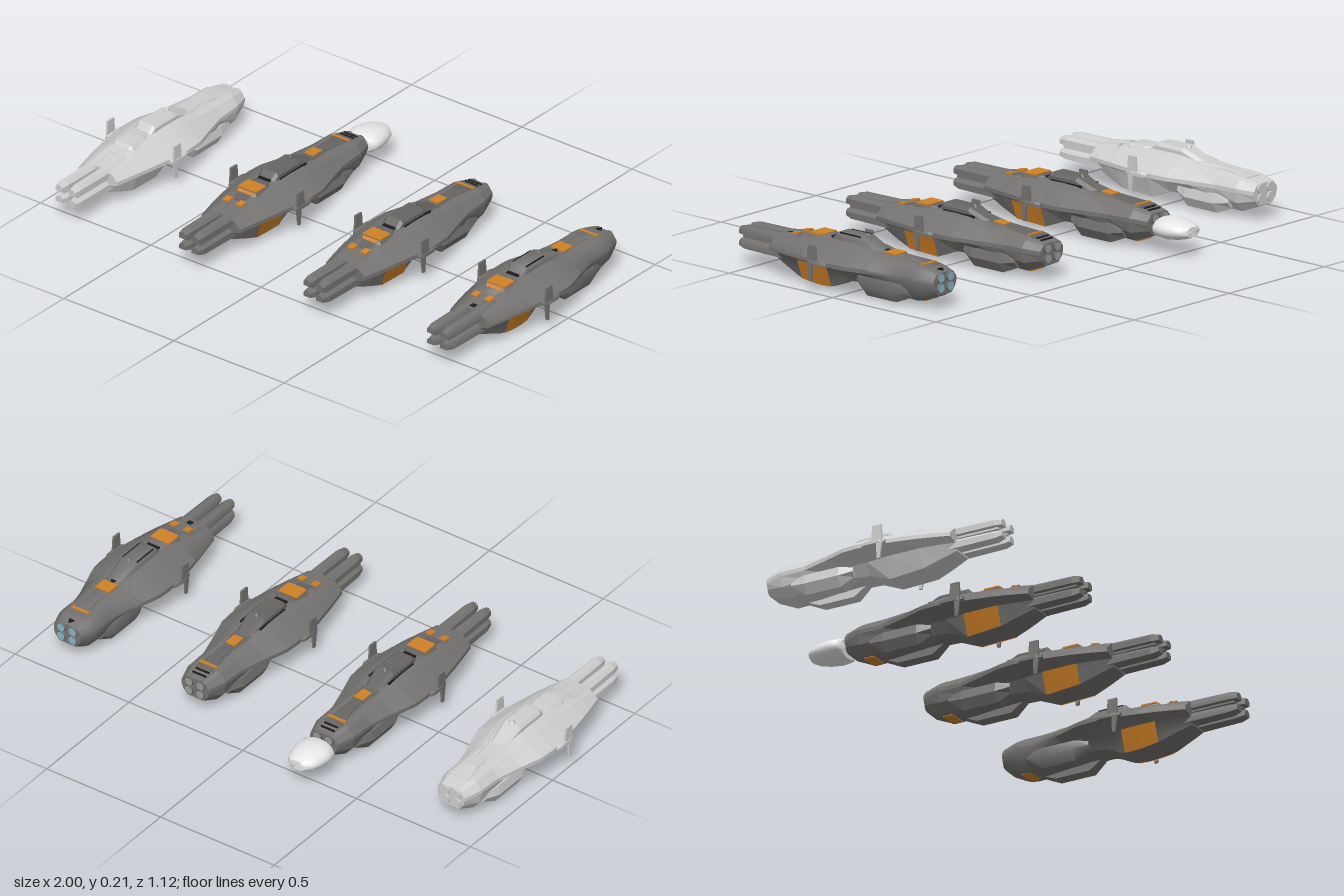
import * as THREE from 'three';
import { toCreasedNormals } from 'three/addons/utils/BufferGeometryUtils.js';

const mat = (name, color, side = THREE.FrontSide) => {
  const m = new THREE.MeshStandardMaterial({ color, side });
  m.name = name;
  return m;
};

// Skin over rings of [x, y, z], ordered front to back, each clockwise seen from the front
function loft(rings, smooth = false, closed = true) {
  const pos = [];
  const tri = (a, b, c) => pos.push(...a, ...b, ...c);
  const n = rings[0].length;
  for (let i = 0; i < rings.length - 1; i++) {
    for (let j = 0; j < (closed ? n : n - 1); j++) {
      const k = (j + 1) % n;
      tri(rings[i][j], rings[i][k], rings[i + 1][k]);
      tri(rings[i][j], rings[i + 1][k], rings[i + 1][j]);
    }
  }
  if (closed) {
    const cap = (ring, front) => {
      const c = [0, 1, 2].map(a => ring.reduce((s, p) => s + p[a], 0) / n);
      ring.forEach((p, j) => {
        const q = ring[(j + 1) % n];
        front ? tri(c, q, p) : tri(c, p, q);
      });
    };
    cap(rings[0], true);
    cap(rings[rings.length - 1], false);
  }
  const g = new THREE.BufferGeometry();
  g.setAttribute('position', new THREE.Float32BufferAttribute(pos, 3));
  g.computeVertexNormals();
  return smooth ? toCreasedNormals(g, 0.95) : g;
}

// Chamfered block: stations of [z, half width, bottom, top] around x = cx
const blockRings = (cx, stations, c = 0.012) => stations.map(([z, w, y0, y1]) => {
  const d = Math.min(c, (y1 - y0) * 0.45, w * 0.6);
  return [[cx - w + d, y1, z], [cx + w - d, y1, z], [cx + w, y1 - d, z],
    [cx + w, y0, z], [cx - w, y0, z], [cx - w, y1 - d, z]];
});

// z, roof x/y, shoulder x/y, wing x/y, underside x/y, keel x/y
const HULL = [
  [0.37, 0.03, 0.15, 0.06, 0.14, 0.088, 0.115, 0.052, 0.088, 0.04, 0.06],
  [0.3, 0.035, 0.157, 0.066, 0.147, 0.105, 0.118, 0.07, 0.086, 0.05, 0.035],
  [0.24, 0.04, 0.168, 0.07, 0.155, 0.118, 0.12, 0.08, 0.085, 0.055, 0.015],
  [0.1, 0.04, 0.18, 0.072, 0.168, 0.143, 0.122, 0.08, 0.084, 0.05, 0.007],
  [0.02, 0.04, 0.182, 0.075, 0.17, 0.147, 0.122, 0.072, 0.083, 0.045, 0.04],
  [-0.04, 0.04, 0.18, 0.07, 0.168, 0.143, 0.122, 0.072, 0.082, 0.048, 0.044],
  [-0.13, 0.04, 0.165, 0.065, 0.155, 0.115, 0.12, 0.072, 0.076, 0.045, 0.04],
  [-0.23, 0.04, 0.16, 0.06, 0.15, 0.087, 0.118, 0.075, 0.072, 0.045, 0.032],
  [-0.33, 0.045, 0.155, 0.06, 0.147, 0.083, 0.12, 0.075, 0.065, 0.045, 0.03],
  [-0.4, 0.035, 0.14, 0.045, 0.135, 0.06, 0.115, 0.053, 0.08, 0.035, 0.06],
];

// Extra stations along a spline for the rounded ship
function hullStations(smooth) {
  if (!smooth) return HULL;
  const out = [];
  for (let i = 0; i < HULL.length - 1; i++) {
    const [a, b, c, d] = [HULL[Math.max(i - 1, 0)], HULL[i], HULL[i + 1], HULL[Math.min(i + 2, HULL.length - 1)]];
    for (let k = 0; k < 4; k++) {
      const t = k / 4, t2 = t * t, t3 = t2 * t, h = c[0] - b[0];
      out.push(b.map((v, j) => {
        if (j === 0) return v + h * t;
        const m0 = (c[j] - a[j]) / (c[0] - a[0]) * h, m1 = (d[j] - v) / (d[0] - b[0]) * h;
        return (2 * t3 - 3 * t2 + 1) * v + (t3 - 2 * t2 + t) * m0 + (3 * t2 - 2 * t3) * c[j] + (t3 - t2) * m1;
      }));
    }
  }
  out.push(HULL[HULL.length - 1]);
  return out;
}

function hullRing([z, rx, ry, sx, sy, wx, wy, ux, uy, kx, ky]) {
  const half = [[rx, ry, z], [sx, sy, z], [wx, wy, z], [wx, wy - 0.015, z], [ux, uy, z], [kx, ky, z]];
  return [...half, ...half.map(([x, y]) => [-x, y, z]).reverse()];
}

function makeShip({ body, raised, dark, paint, engine, smooth }) {
  const ship = new THREE.Group();
  const add = (name, geo, m, x = 0, y = 0, z = 0) => {
    const mesh = new THREE.Mesh(geo, m);
    mesh.name = name;
    mesh.position.set(x, y, z);
    ship.add(mesh);
    return mesh;
  };
  const box = (name, m, w, h, d, x, y, z) => add(name, new THREE.BoxGeometry(w, h, d), m, x, y, z);
  const block = (name, m, cx, stations, c) => add(name, loft(blockRings(cx, stations, c), smooth), m);

  // Hull and raised spine
  const stations = hullStations(smooth);
  add('hull', loft(stations.map(hullRing), smooth), body);
  block('bridge', raised, 0, [[0.115, 0.036, 0.16, 0.182], [0.09, 0.04, 0.16, 0.206],
    [-0.03, 0.04, 0.16, 0.206], [-0.13, 0.03, 0.14, 0.168]]);
  block('foredeck', raised, 0, [[0.275, 0.036, 0.14, 0.164], [0.235, 0.042, 0.14, 0.17], [0.222, 0.046, 0.14, 0.182],
    [0.15, 0.046, 0.14, 0.183], [0.125, 0.038, 0.14, 0.181]]);
  block('aftSpine', raised, 0, [[-0.11, 0.038, 0.14, 0.171], [-0.2, 0.024, 0.14, 0.168],
    [-0.27, 0.026, 0.14, 0.166], [-0.345, 0.045, 0.14, 0.154]], 0.006);
  block('mast', raised, 0, [[-0.015, 0.008, 0.2, 0.21], [-0.03, 0.008, 0.2, 0.216], [-0.04, 0.008, 0.19, 0.205]]);

  // Forked bow guns with a slim middle rail
  box('bowCore', dark, 0.06, 0.04, 0.04, 0, 0.11, 0.358);
  for (const s of [-1, 1]) {
    block('upperProng', body, s * 0.029, [[0.556, 0.015, 0.12, 0.145], [0.525, 0.021, 0.119, 0.152],
      [0.37, 0.023, 0.118, 0.153], [0.27, 0.023, 0.116, 0.168]]);
    block('lowerProng', body, s * 0.029, [[0.556, 0.015, 0.076, 0.1], [0.525, 0.021, 0.069, 0.103],
      [0.3, 0.023, 0.066, 0.105]]);
    box('prongRail', body, 0.024, 0.008, 0.17, s * 0.029, 0.111, 0.455);

    // Underslung pods
    const pod = [[-0.04, 0.8, 0.045, 0.078], [-0.09, 1, 0.012, 0.085], [-0.23, 1, 0.012, 0.085], [-0.29, 0.85, 0.038, 0.08]]
      .map(([z, k, y0, y1]) => {
        const r = [[0.025, y1, z], [0.086 * k, y1, z], [0.093 * k, (y0 + y1) / 2, z], [0.072 * k, y0, z], [0.025, y0, z]];
        return s > 0 ? r : r.map(([x, y]) => [-x, y, z]).reverse();
      });
    add('pod', loft(pod, smooth), body);

    // Side fins on short brackets
    const fin = new THREE.Shape([[-0.123, 0.176], [-0.088, 0.176], [-0.083, 0.12], [-0.103, 0.105], [-0.106, 0.045],
      [-0.118, 0.045], [-0.127, 0.115]].map(p => new THREE.Vector2(...p)));
    const finGeo = new THREE.ExtrudeGeometry(fin, { depth: 0.008, bevelEnabled: false });
    add('fin', finGeo, body, s * 0.151 - 0.004).rotation.y = Math.PI / 2;
    block('finBracket', body, s * 0.143, [[0.135, 0.008, 0.108, 0.12], [0.115, 0.014, 0.106, 0.124],
      [0.06, 0.014, 0.106, 0.124], [0.04, 0.008, 0.108, 0.12]], 0.006);

    // Dark seams beside the bridge
    if (paint && !smooth) box('deckSeam', dark, 0.004, 0.008, 0.15, s * 0.043, 0.179, 0.01);
  }

  // Engines
  for (const x of [-0.025, 0.025]) for (const y of [0.085, 0.122]) {
    const nozzle = new THREE.CylinderGeometry(0.018, 0.02, 0.016, 14);
    add('nozzle', nozzle, raised, x, y, -0.398).rotation.x = -Math.PI / 2;
    add('engineCore', new THREE.CircleGeometry(0.016, 14), engine, x, y, -0.4065).rotation.y = Math.PI;
  }

  // Painted plates
  if (paint) {
    box('foredeckPaint', paint, 0.08, 0.006, 0.06, 0, 0.1825, 0.19);
    box('foredeckFrontPaint', paint, 0.066, 0.012, 0.004, 0, 0.177, 0.229).rotation.x = -0.8;
    box('spinePaint', paint, smooth ? 0.06 : 0.04, 0.006, 0.055, 0, 0.17, -0.162).rotation.x = -0.03;
    box('sternPaint', paint, 0.075, 0.006, 0.012, 0, 0.158, -0.32);
    box('keelPaint', paint, 0.07, 0.006, 0.04, 0, 0.0305, -0.315);
    box('bridgeFront', dark, 0.05, 0.008, 0.014, 0, 0.181, 0.12);
    if (smooth) {
      box('bowLight', engine, 0.05, 0.03, 0.004, 0, 0.111, 0.379);
      box('noseVent', dark, 0.02, 0.006, 0.02, 0, 0.151, 0.345);
      // Arrow marks on the spine
      for (const [y, z] of [[0.1475, -0.38], [0.1715, -0.125]]) {
        const arrow = new THREE.CylinderGeometry(0.013, 0.013, 0.006, 3);
        add('arrowMark', arrow, dark, 0, y, z).rotation.y = Math.PI;
      }
      for (const s of [-1, 1]) box('bridgeSeam', dark, 0.003, 0.005, 0.1, s * 0.03, 0.205, 0.03);
    } else {
      for (const z of [-0.355, -0.375]) box('sternGrille', dark, 0.06, 0.006, 0.006, 0, 0.151 + (z + 0.355) * 0.2, z);
    }
    for (const s of [-1, 1]) {
      box('prongPaint', paint, 0.026, 0.006, 0.03, s * 0.03, 0.166, 0.292).rotation.x = 0.14;
      const strip = stations.filter(r => r[0] > 0.095 && r[0] < 0.245)
        .map(r => [[s * (r[7] + 0.002), r[8] + 0.001, r[0]], [s * (r[9] + 0.003), r[10] - 0.001, r[0]]]);
      add('bellyPaint', loft(s > 0 ? strip : strip.map(p => [...p].reverse()), smooth, false), paint);
    }
  }
  return ship;
}

export function createModel() {
  const light = mat('lightGrey', 0xcecece), grey = mat('hullGrey', 0x747371);
  const slate = mat('panelGrey', 0x666563), dark = mat('black', 0x1e1e1e);
  const orange = mat('orange', 0xcf8126, THREE.DoubleSide);
  const glow = mat('engineBlue', 0x86b4c6), white = mat('paleGrey', 0xe6e6e6);
  const mid = mat('nozzleGrey', 0x9a9a9a);

  const model = new THREE.Group();
  const fleet = [
    ['plainShip', -0.843, { body: light, raised: light, dark: light, engine: light }],
    ['portShip', -0.284, { body: grey, raised: slate, dark, paint: orange, engine: mid }],
    ['starboardShip', 0.281, { body: grey, raised: slate, dark, paint: orange, engine: mid }],
    ['roundedShip', 0.843, { body: grey, raised: grey, dark, paint: orange, engine: glow, smooth: true }],
  ];
  for (const [name, x, options] of fleet) {
    const ship = makeShip(options);
    ship.name = name;
    ship.position.x = x;
    model.add(ship);
  }

  // Rounded exhaust plume behind the second ship
  const plume = [[-0.42, 0.058, 0.033], [-0.432, 0.071, 0.037], [-0.47, 0.073, 0.041], [-0.51, 0.066, 0.036],
    [-0.545, 0.053, 0.027], [-0.563, 0.034, 0.019]].map(([z, rx, ry]) =>
    Array.from({ length: 24 }, (_, i) => {
      const a = -i / 24 * Math.PI * 2;
      return [rx * Math.cos(a), 0.095 + ry * Math.sin(a), z];
    }));
  const plumeMesh = new THREE.Mesh(loft(plume, true), white);
  plumeMesh.name = 'exhaustPlume';
  plumeMesh.position.x = -0.284;
  model.add(plumeMesh);
  return model;
}
